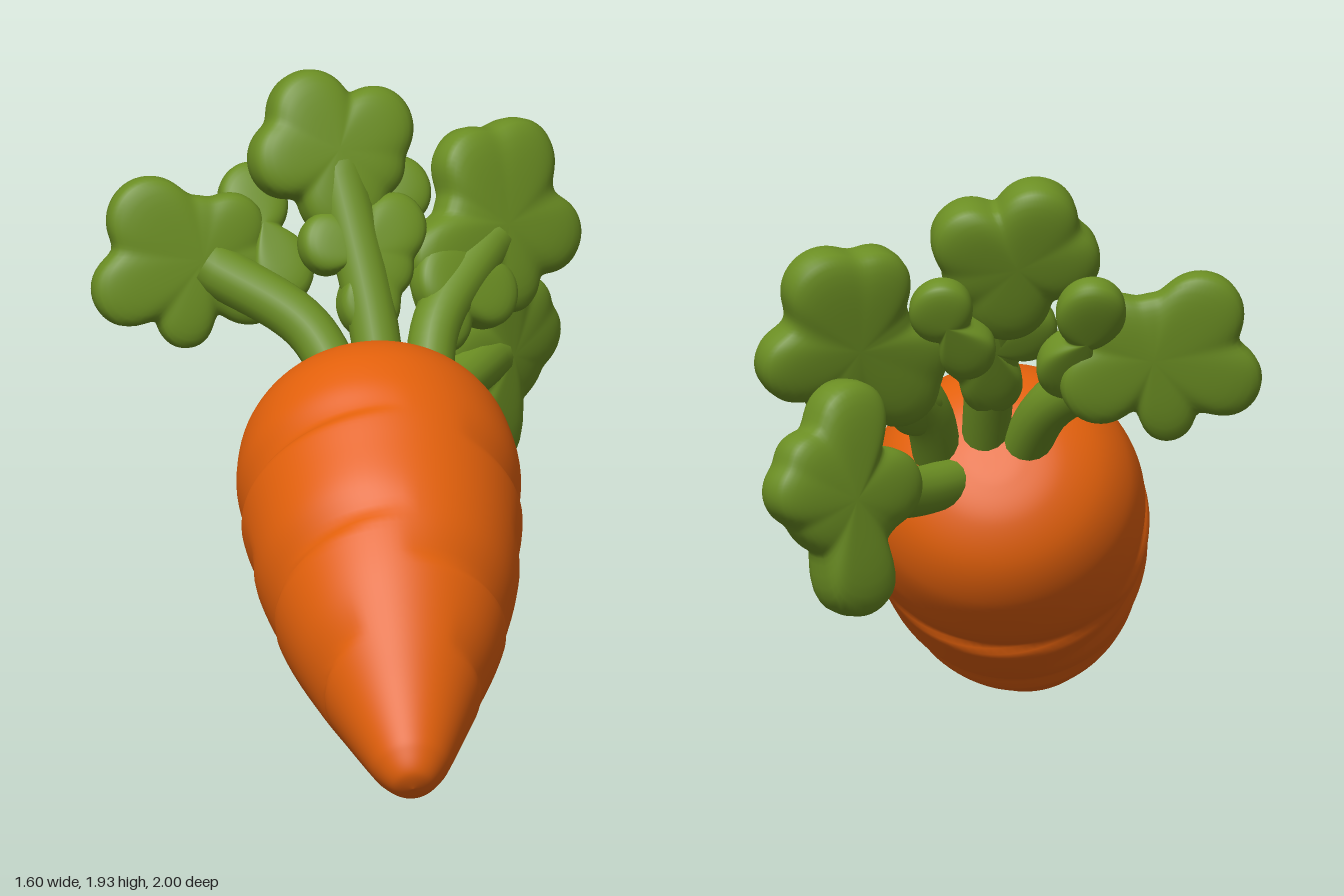
import * as THREE from 'three';
import { mergeVertices } from 'three/addons/utils/BufferGeometryUtils.js';

const V = (x, y, z) => new THREE.Vector3(x, y, z);
const orange = new THREE.MeshStandardMaterial({ name: 'carrotOrange', color: 0xe2600b });
const green = new THREE.MeshStandardMaterial({ name: 'leafGreen', color: 0x6b8e23 });

function addMesh(parent, name, geometry, material) {
  const mesh = new THREE.Mesh(geometry, material);
  mesh.name = name;
  parent.add(mesh);
  return mesh;
}

// Join seams so that normals run smoothly all the way round
function smooth(geometry) {
  geometry.deleteAttribute('uv');
  geometry.deleteAttribute('normal');
  const merged = mergeVertices(geometry, 1e-5);
  merged.computeVertexNormals();
  return merged;
}

// Creases round the root: [distance from tip, angle, half span, depth, slant], angles in degrees
const CREASES = [
  [1.10, 160, 70, 0.028, -0.03], [1.04, 20, 45, 0.02, 0.02], [1.04, 275, 60, 0.035, 0.03],
  [0.69, 155, 65, 0.03, -0.06], [0.57, 40, 55, 0.024, 0.02], [0.62, 275, 65, 0.026, 0.02],
  [0.32, 170, 45, 0.02, -0.05], [0.30, 20, 45, 0.014, 0.02], [0.33, 270, 50, 0.014, 0],
  [0.82, 0, 28, 0.016, 0.02], [0.86, 220, 40, 0.02, -0.03],
];

function rootGeometry() {
  const profile = [
    [0, -0.1], [0.06, -0.085], [0.108, -0.03], [0.14, 0.03], [0.208, 0.18], [0.283, 0.35],
    [0.36, 0.56], [0.415, 0.8], [0.44, 1.0], [0.45, 1.13], [0.443, 1.25], [0.41, 1.38],
    [0.335, 1.49], [0.22, 1.565], [0.1, 1.595], [0, 1.6],
  ].map(([r, s]) => new THREE.Vector2(r, s));
  const points = new THREE.SplineCurve(profile).getPoints(150);
  points.forEach(p => { p.x = Math.max(0, p.x); });
  const geo = smooth(new THREE.LatheGeometry(points, 96));
  const pos = geo.attributes.position;
  for (let i = 0; i < pos.count; i++) {
    const x = pos.getX(i), s = pos.getY(i), z = pos.getZ(i);
    const r = Math.hypot(x, z);
    if (r < 0.01) continue;
    const angle = THREE.MathUtils.radToDeg(Math.atan2(z, x));
    let dent = 0;
    for (const [s0, a0, half, depth, slant] of CREASES) {
      const da = THREE.MathUtils.euclideanModulo(angle - a0 + 180, 360) - 180;
      const w = Math.max(0, 1 - (da / half) ** 2);
      const ds = s - s0 - slant * da / half;
      // steep on the tip side, gentle on the crown side
      dent = Math.max(dent, depth * w * Math.exp(-((ds / (ds > 0 ? 0.085 : 0.022)) ** 2)));
    }
    pos.setXYZ(i, x * (r - dent) / r, s, z * (r - dent) / r);
  }
  geo.computeVertexNormals();
  return geo;
}

// Distance from a centre to the edge of a cluster of round lobes [x, y, radius], in every direction
function lobedReach([cx, cy], lobes, count) {
  let reach = Array.from({ length: count }, (_, k) => {
    const a = 2 * Math.PI * k / count;
    return Math.max(0.04, ...lobes.map(([x, y, r]) => {
      const along = (x - cx) * Math.cos(a) + (y - cy) * Math.sin(a);
      const inside = r * r - (x - cx) ** 2 - (y - cy) ** 2 + along * along;
      return inside > 0 ? along + Math.sqrt(inside) : 0;
    }));
  });
  // soften the notches between lobes
  for (let pass = 0; pass < 4; pass++) {
    reach = reach.map((r, k) =>
      (reach[(k + count - 1) % count] + 2 * r + reach[(k + 1) % count]) / 4);
  }
  return reach;
}

// Puffy blade of round lobes lying on a plane tilted by slope [dz/dx, dz/dy]
function bladeGeometry(centre, slope, thick, lobes) {
  const [cx, cy, cz] = centre, [zx, zy] = slope, rings = 20, n = 120;
  const reach = lobedReach(centre, lobes, n);
  const maxReach = Math.max(...reach);
  const normal = V(-zx, -zy, 1).normalize();
  const verts = [], index = [];
  for (let i = 0; i <= rings; i++) {
    const phi = Math.PI * i / rings;
    const rho = i === rings ? 0 : Math.sin(phi), c = Math.cos(phi);
    for (let k = 0; k < n; k++) {
      const a = 2 * Math.PI * k / n;
      const dx = reach[k] * rho * Math.cos(a), dy = reach[k] * rho * Math.sin(a);
      const swell = THREE.MathUtils.lerp(0.8, 0.6 + 0.45 * reach[k] / maxReach, rho * rho);
      const h = thick * swell * Math.sign(c) * Math.abs(c) ** 0.6;
      const p = V(cx + dx, cy + dy, cz + zx * dx + zy * dy).addScaledVector(normal, h);
      verts.push(p.x, p.y, p.z);
      if (i < rings) {
        const k2 = (k + 1) % n, q = i * n + k, s = i * n + k2;
        index.push(q, q + n, s + n, q, s + n, s);
      }
    }
  }
  const geo = new THREE.BufferGeometry();
  geo.setAttribute('position', new THREE.Float32BufferAttribute(verts, 3));
  geo.setIndex(index);
  return smooth(geo);
}

// Tube widening from the crown to the blade
function stemGeometry(path) {
  const curve = new THREE.CatmullRomCurve3(path.map(p => V(...p)));
  const segs = 20, sides = 16;
  const geo = new THREE.TubeGeometry(curve, segs, 1, sides);
  const pos = geo.attributes.position;
  for (let i = 0; i < pos.count; i++) {
    const t = Math.floor(i / (sides + 1)) / segs;
    const c = curve.getPointAt(t);
    const p = V().fromBufferAttribute(pos, i).sub(c)
      .multiplyScalar(THREE.MathUtils.lerp(0.075, 0.085, t)).add(c);
    pos.setXYZ(i, p.x, p.y, p.z);
  }
  return smooth(geo);
}

// Leaf with a stem; returns a function that adds blades to it
function addLeaf(model, name, stemPath) {
  const leaf = new THREE.Group();
  leaf.name = name;
  model.add(leaf);
  addMesh(leaf, 'stem', stemGeometry(stemPath), green);
  return (...blade) => addMesh(leaf, 'blade', bladeGeometry(...blade), green);
}

export function createModel() {
  const model = new THREE.Group();
  model.name = 'carrot';

  // Root, leaning from its tip at the front up to the crown at the back
  const root = addMesh(model, 'root', rootGeometry(), orange);
  const axis = V(0.17, 0.54, -0.82).normalize();
  const side = V(1, 0, 0).addScaledVector(axis, -axis.x).normalize();
  root.quaternion.setFromRotationMatrix(
    new THREE.Matrix4().makeBasis(side, axis, side.clone().cross(axis)));
  root.position.set(-0.26, 0.1, 0.9);

  // Upright leaf with a pair of lower lobes and a small one behind
  const centre = addLeaf(model, 'centreLeaf', [[0.03, 0.9, -0.27], [0.03, 1.2, -0.43], [-0.01, 1.62, -0.66]]);
  centre([-0.02, 1.66, -0.69], [0, -0.35], 0.12,
    [[-0.08, 1.775, 0.135], [0.125, 1.72, 0.125], [-0.17, 1.65, 0.12], [0, 1.53, 0.14], [0.11, 1.61, 0.1]]);
  centre([0.03, 1.36, -0.53], [0, -0.5], 0.09,
    [[-0.08, 1.4, 0.09], [0.15, 1.43, 0.1], [0.03, 1.22, 0.1], [0.03, 1.42, 0.1], [0.1, 1.32, 0.09]]);
  centre([0.2, 1.47, -0.73], [0.1, -0.45], 0.075, [[0.22, 1.5, 0.1], [0.13, 1.36, 0.09]]);

  // Leaf spreading to the right
  const right = addLeaf(model, 'rightLeaf', [[-0.07, 0.93, -0.32], [-0.16, 1.15, -0.5], [-0.42, 1.32, -0.7]]);
  right([-0.45, 1.34, -0.72], [0.04, -0.15], 0.09,
    [[-0.6, 1.47, 0.14], [-0.68, 1.26, 0.12], [-0.5, 1.15, 0.09], [-0.29, 1.25, 0.13], [-0.34, 1.43, 0.11],
      [-0.47, 1.35, 0.19]]);
  right([-0.24, 1.42, -0.74], [0.05, -0.6], 0.08, [[-0.25, 1.49, 0.11], [-0.19, 1.3, 0.1]]);

  // Leaf spreading to the left
  const left = addLeaf(model, 'leftLeaf', [[0.17, 0.9, -0.27], [0.24, 1.14, -0.42], [0.48, 1.36, -0.62]]);
  left([0.5, 1.39, -0.65], [-0.32, -0.25], 0.115,
    [[0.58, 1.565, 0.14], [0.43, 1.585, 0.115], [0.68, 1.33, 0.12], [0.54, 1.2, 0.09], [0.29, 1.33, 0.11],
      [0.34, 1.23, 0.13], [0.51, 1.4, 0.21]]);
  left([0.3, 1.22, -0.49], [-0.3, -0.45], 0.085, [[0.27, 1.14, 0.09], [0.31, 1.27, 0.12], [0.44, 1.2, 0.1]]);

  // Low leaf reaching back and to the left
  const lower = addLeaf(model, 'lowerLeaf', [[0.12, 0.88, -0.34], [0.3, 0.88, -0.54], [0.53, 0.93, -0.78]]);
  lower([0.55, 0.93, -0.82], [-0.55, 0], 0.125,
    [[0.53, 1.185, 0.115], [0.67, 0.96, 0.12], [0.66, 1.06, 0.09], [0.5, 0.655, 0.12], [0.42, 0.94, 0.13],
      [0.54, 0.92, 0.19]]);
  return model;
}
